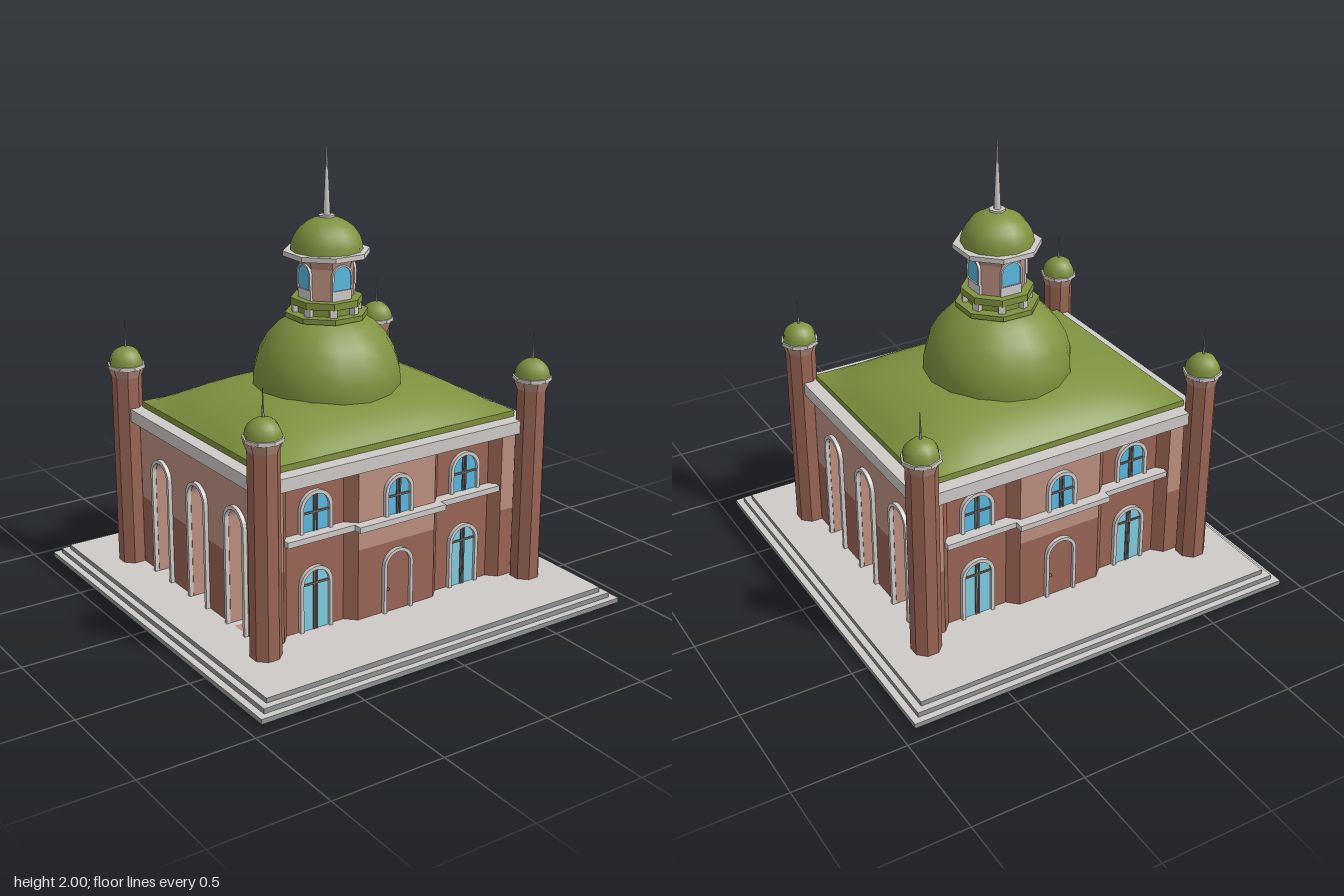
import * as THREE from 'three';
import { toCreasedNormals } from 'three/addons/utils/BufferGeometryUtils.js';

const mat = (name, color) => Object.assign(new THREE.MeshStandardMaterial({ color }), { name });

export function createModel() {
  const model = new THREE.Group();
  model.name = 'domedHall';
  const M = {
    green: mat('roofGreen', 0x7f923f),
    stone: mat('paleStone', 0xcecac8),
    grey: mat('darkGrey', 0x909594),
    brick: mat('darkBrick', 0x9a6554),
    light: mat('lightBrick', 0xbc9080),
    glass: mat('blueGlass', 0x5abae2),
    pale: mat('paleGlass', 0x80cde2),
    wood: mat('brownWood', 0x75625a),
  };

  const add = (parent, name, geo, m, x = 0, y = 0, z = 0) => {
    const mesh = new THREE.Mesh(geo, m);
    mesh.name = name;
    mesh.position.set(x, y, z);
    parent.add(mesh);
    return mesh;
  };
  const group = (name, parent = model) => {
    const g = new THREE.Group();
    g.name = name;
    parent.add(g);
    return g;
  };
  const box = (p, name, m, w, h, d, x, y, z) => add(p, name, new THREE.BoxGeometry(w, h, d), m, x, y, z);
  // Eight-sided prism, flat sides on the axes, sized by distance to the flats
  const octagon = (p, name, m, top, bottom, y0, y1) => {
    const k = Math.cos(Math.PI / 8);
    const g = new THREE.CylinderGeometry(top / k, bottom / k, y1 - y0, 8).rotateY(Math.PI / 8);
    return add(p, name, toCreasedNormals(g, 0.3), m, 0, (y0 + y1) / 2, 0);
  };
  const dome = (p, name, r, h, y, sides, from = 0) => {
    const pts = [];
    for (let i = 0; i <= 8; i++) {
      const a = from + (Math.PI / 2 - from) * i / 8;
      pts.push(new THREE.Vector2(Math.max(r * Math.cos(a), 0.0001), h * Math.sin(a)));
    }
    return add(p, name, new THREE.LatheGeometry(pts, sides), M.green, 0, y, 0);
  };

  // Round-topped outline standing on y = 0
  const arch = (path, w, h) => {
    const r = w / 2;
    path.moveTo(-r, 0);
    path.lineTo(r, 0);
    path.lineTo(r, h - r);
    path.absarc(0, h - r, r, 0, Math.PI, false);
    path.lineTo(-r, 0);
    return path;
  };
  const extrude = (s, depth) => new THREE.ExtrudeGeometry(s, { depth, bevelEnabled: false, curveSegments: 8 });
  const archRing = (w, h, t, depth) => {
    const outer = arch(new THREE.Shape(), w, h);
    outer.holes.push(arch(new THREE.Path(), w - 2 * t, h - t));
    return extrude(outer, depth);
  };
  const opening = (p, name, fill, x, y, z, w, h, t = 0.016, depth = 0.018) => {
    const g = group(name, p);
    g.position.set(x, y, z);
    add(g, 'archFrame', archRing(w, h, t, depth), M.stone);
    add(g, 'archPanel', extrude(arch(new THREE.Shape(), w - 2 * t, h - t), 0.005), fill);
    return g;
  };
  const windowBars = (g, w, h, barY) => {
    for (const s of [-1, 1]) box(g, 'mullion', M.wood, 0.008, h - 0.02, 0.008, s * 0.007, h / 2 - 0.01, 0.006);
    box(g, 'crossBar', M.wood, w - 0.032, 0.009, 0.008, 0, barY, 0.006);
  };

  // Stepped platform with pale paving on every tread
  [[0.93, 0, 0.022], [0.9, 0.022, 0.044], [0.87, 0.044, 0.066]].forEach(([r, a, b]) =>
    box(model, 'platformStep', [M.grey, M.grey, M.stone, M.stone, M.grey, M.grey], r * 2, b - a, r * 2, 0, (a + b) / 2, 0));

  // Long facades with recessed window bays
  const plan = [[-0.66, 0.53], [-0.57, 0.53], [-0.53, 0.485], [-0.245, 0.485], [-0.2, 0.53],
    [0.2, 0.53], [0.245, 0.485], [0.53, 0.485], [0.57, 0.53], [0.66, 0.53]];
  const wall = (p, name, m, [x0, z0], [x1, z1], y0, y1) => {
    const g = new THREE.PlaneGeometry(Math.hypot(x1 - x0, z1 - z0), y1 - y0);
    add(p, name, g, m, (x0 + x1) / 2, (y0 + y1) / 2, (z0 + z1) / 2).rotation.y = Math.atan2(z0 - z1, x1 - x0);
  };
  for (const turn of [0, Math.PI]) {
    const f = group(turn ? 'backFacade' : 'frontFacade');
    f.rotation.y = turn;
    for (let i = 0; i < plan.length - 1; i++) {
      const flush = plan[i][1] === 0.53 && plan[i + 1][1] === 0.53;
      wall(f, 'lowerWall', M.brick, plan[i], plan[i + 1], 0.06, 0.385);
      wall(f, 'upperWall', flush ? M.light : M.brick, plan[i], plan[i + 1], 0.385, 0.76);
    }
    // Ledge between the storeys, stepping out over the door
    const s = new THREE.Shape([[-0.555, -0.47], [-0.555, -0.54], [-0.225, -0.54], [-0.225, -0.578],
      [0.225, -0.578], [0.225, -0.54], [0.555, -0.54], [0.555, -0.47]].map(([x, y]) => new THREE.Vector2(x, y)));
    add(f, 'ledge', extrude(s, 0.026).rotateX(-Math.PI / 2), M.stone, 0, 0.485, 0);
    for (const x of [-0.39, 0.39]) {
      windowBars(opening(f, 'upperWindow', M.glass, x, 0.51, 0.485, 0.16, 0.182), 0.16, 0.182, 0.085);
      windowBars(opening(f, 'lowerWindow', M.pale, x, 0.066, 0.485, 0.16, 0.288), 0.16, 0.288, 0.21);
    }
    windowBars(opening(f, 'middleWindow', M.glass, 0, 0.51, 0.53, 0.146, 0.18), 0.146, 0.18, 0.085);
    const door = opening(f, 'door', M.brick, 0, 0.066, 0.53, 0.152, 0.288, 0.015);
    add(door, 'doorKnob', new THREE.SphereGeometry(0.008, 8, 6), M.wood, -0.053, 0.108, 0.012);
  }

  // Side walls, each with three deep arched niches
  const niches = [-0.315, 0, 0.315], nw = 0.162, nh = 0.556, nr = nw / 2 - 0.002;
  for (const side of [1, -1]) {
    const s = group(side > 0 ? 'leftSide' : 'rightSide');
    s.rotation.y = side * Math.PI / 2;
    const edges = [-0.53, ...niches.flatMap((x) => [x - nr, x + nr]), 0.53];
    for (let i = 0; i < edges.length; i += 2) wall(s, 'lowerWall', M.brick, [edges[i], 0.66], [edges[i + 1], 0.66], 0.06, 0.385);
    const upper = new THREE.Shape();
    upper.moveTo(-0.53, 0.385);
    for (const x of niches) {
      upper.lineTo(x - nr, 0.385);
      upper.absarc(x, 0.066 + nh - nw / 2, nr, Math.PI, 0, true);
      upper.lineTo(x + nr, 0.385);
    }
    upper.lineTo(0.53, 0.385);
    upper.lineTo(0.53, 0.76);
    upper.lineTo(-0.53, 0.76);
    add(s, 'upperWall', new THREE.ShapeGeometry(upper, 8), M.light, 0, 0, 0.66);
    for (const x of niches) {
      const g = group('niche', s);
      g.position.set(x, 0.066, 0.66);
      add(g, 'nicheFrame', archRing(nw, nh, 0.016, 0.018), M.stone);
      add(g, 'nicheReveal', archRing(nw, nh, 0.016, 0.1), M.light, 0, 0, -0.101);
      add(g, 'nicheBack', new THREE.ShapeGeometry(arch(new THREE.Shape(), nw, nh), 8), M.grey, 0, 0, -0.1);
    }
  }

  // Cornice and bulging rectangular roof
  box(model, 'cornice', M.stone, 1.41, 0.058, 1.16, 0, 0.781, 0);
  box(model, 'roofEdge', M.green, 1.29, 0.028, 1.03, 0, 0.823, 0);
  const roof = new THREE.PlaneGeometry(1.29, 1.03, 24, 24).rotateX(-Math.PI / 2);
  const pos = roof.attributes.position;
  for (let i = 0; i < pos.count; i++) {
    const u = Math.min(1, Math.abs(pos.getX(i)) / 0.645), v = Math.min(1, Math.abs(pos.getZ(i)) / 0.515);
    pos.setY(i, 0.838 + 0.134 * (1 - u ** 3.4) * (1 - v ** 3.4));
  }
  roof.computeVertexNormals();
  add(model, 'roof', roof, M.green);
  dome(model, 'mainDome', 0.33, 0.33, 0.968, 16, -0.3);

  // Lantern: railing, drum with four windows, small dome and spire
  const l = group('lantern');
  octagon(l, 'lanternBase', M.green, 0.17, 0.17, 1.255, 1.278);
  octagon(l, 'railingCore', M.green, 0.125, 0.125, 1.278, 1.312);
  octagon(l, 'railing', M.green, 0.147, 0.147, 1.312, 1.342);
  for (let i = 0; i < 8; i++) {
    const a = (i + 0.5) * Math.PI / 4;
    box(l, 'railingPost', M.stone, 0.032, 0.036, 0.03, Math.sin(a) * 0.137, 1.295, Math.cos(a) * 0.137).rotation.y = a;
  }
  octagon(l, 'drum', M.light, 0.11, 0.11, 1.34, 1.48);
  octagon(l, 'drumFlare', M.light, 0.122, 0.11, 1.48, 1.526);
  for (let i = 0; i < 4; i++) {
    const g = group('lanternSide', l);
    g.rotation.y = i * Math.PI / 2;
    box(g, 'sill', M.stone, 0.1, 0.045, 0.012, 0, 1.365, 0.11);
    opening(g, 'lanternWindow', M.glass, 0, 1.388, 0.11, 0.104, 0.112, 0.008, 0.012);
  }
  octagon(l, 'lanternEave', M.stone, 0.177, 0.177, 1.525, 1.547);
  dome(l, 'lanternDome', 0.158, 0.146, 1.546, 12);
  add(l, 'spireFoot', new THREE.CylinderGeometry(0.036, 0.036, 0.014, 8), M.stone, 0, 1.69, 0);
  add(l, 'spire', new THREE.CylinderGeometry(0.002, 0.016, 0.304, 8), M.stone, 0, 1.848, 0);

  // Four corner towers
  for (const x of [-0.687, 0.687]) for (const z of [-0.575, 0.575]) {
    const t = group('cornerTower');
    t.position.set(x, 0, z);
    octagon(t, 'towerShaft', M.brick, 0.062, 0.062, 0.06, 0.95);
    octagon(t, 'towerFlare', M.light, 0.076, 0.062, 0.95, 0.99);
    add(t, 'towerEave', toCreasedNormals(new THREE.CylinderGeometry(0.086, 0.086, 0.016, 8), 0.3), M.stone, 0, 0.998, 0);
    dome(t, 'towerDome', 0.078, 0.08, 1.006, 8);
    add(t, 'towerSpire', new THREE.CylinderGeometry(0.001, 0.006, 0.125, 6), M.grey, 0, 1.143, 0);
  }
  return model;
}
